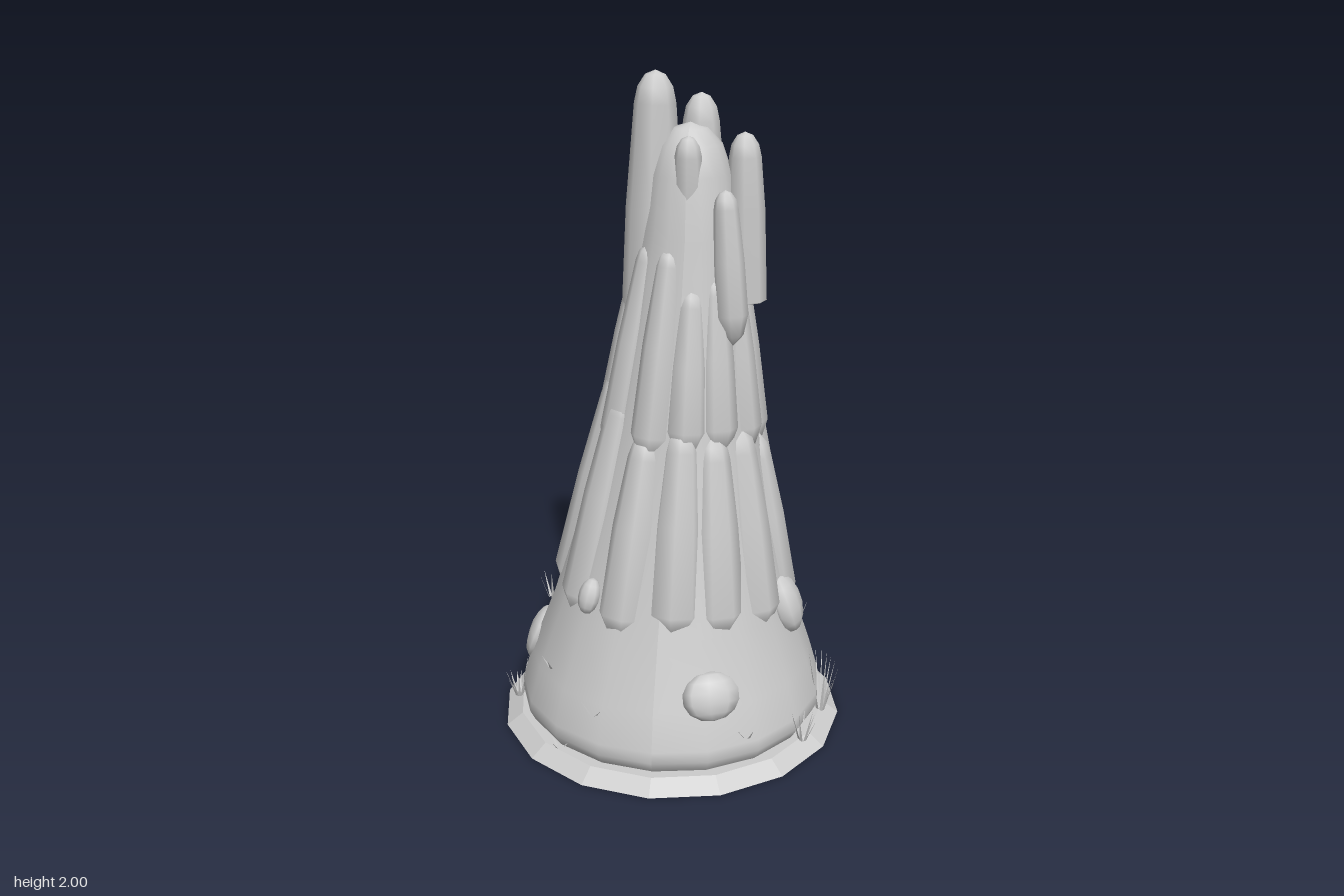
import * as THREE from 'three';

const earth = new THREE.MeshStandardMaterial({ color: 0xcccccc });
earth.name = 'pale earth';
const blade = new THREE.MeshStandardMaterial({ color: 0xcccccc, side: THREE.DoubleSide });
blade.name = 'dry grass';

// mound profile: [radius, height]
const PROFILE = [[0.44, 0.02], [0.46, 0.045], [0.475, 0.075], [0.472, 0.11], [0.44, 0.22], [0.367, 0.42],
  [0.29, 0.72], [0.227, 1.0], [0.178, 1.3], [0.142, 1.55], [0.118, 1.72], [0.09, 1.8], [0.05, 1.845], [0, 1.86]];

// the mound leans slightly toward +x as it rises
const lean = (y) => 0.055 * THREE.MathUtils.clamp((y - 0.3) / 1.2, 0, 1);

function moundRadius(y) {
  for (let i = 1; i < PROFILE.length; i++) {
    const [r0, y0] = PROFILE[i - 1], [r1, y1] = PROFILE[i];
    if (y <= y1) return r0 + (r1 - r0) * (y - y0) / (y1 - y0);
  }
  return 0;
}

function surfacePoint(angle, y, inset) {
  const r = moundRadius(y) - inset;
  return new THREE.Vector3(lean(y) + Math.cos(angle) * r, y, Math.sin(angle) * r);
}

function add(parent, name, geometry, material = earth) {
  const mesh = new THREE.Mesh(geometry, material);
  mesh.name = name;
  parent.add(mesh);
  return mesh;
}

function lathe(points, sides) {
  return new THREE.LatheGeometry(points.map(([r, y]) => new THREE.Vector2(r, y)), sides);
}

// tapered column with a rounded tip, from point a to point b
function column(parent, name, a, b, r0, r1, pointed) {
  const axis = b.clone().sub(a), h = axis.length();
  const foot = pointed ? [[0, 0], [r0 * 0.65, 0.03], [r0, 0.09]] : [[0, 0], [r0, 0], [r0, 0.002]];
  const pts = [...foot, [(r0 + r1) / 2 + 0.003, h * 0.55], [r1, h - r1 * 1.5],
    [r1 * 0.84, h - r1 * 0.75], [r1 * 0.48, h - r1 * 0.2], [0, h]];
  const mesh = add(parent, name, lathe(pts, 8));
  mesh.position.copy(a);
  mesh.quaternion.setFromUnitVectors(new THREE.Vector3(0, 1, 0), axis.normalize());
}

function grassTuft(parent, [x, y, z, height, count]) {
  const pos = [];
  for (let i = 0; i < count; i++) {
    const a = i * 2.4 + x * 9, h = height * (0.5 + 0.5 * ((i * 0.618 + 0.45) % 1));
    const spread = 0.03 + 0.15 * h, c = Math.cos(a), s = Math.sin(a), w = 0.005;
    const bx = x + c * 0.012, bz = z + s * 0.012;
    pos.push(bx - s * w, y, bz + c * w, bx + s * w, y, bz - c * w, x + c * spread, y + h, z + s * spread);
  }
  const g = new THREE.BufferGeometry();
  g.setAttribute('position', new THREE.Float32BufferAttribute(pos, 3));
  g.computeVertexNormals();
  add(parent, 'grassTuft', g, blade);
}

export function createModel() {
  const model = new THREE.Group();
  model.name = 'earthMound';

  // ground skirt
  const skirt = new THREE.CylinderGeometry(0.485, 0.535, 0.036, 16).toNonIndexed();
  skirt.translate(0, 0.018, 0);
  skirt.computeVertexNormals();
  add(model, 'groundSkirt', skirt);

  // main mound, sheared along its lean
  const body = lathe(PROFILE, 18);
  const p = body.attributes.position;
  for (let i = 0; i < p.count; i++) p.setX(i, p.getX(i) + lean(p.getY(i)));
  body.computeVertexNormals();
  add(model, 'moundBody', body);

  // two tiers of shallow buttress ribs: [angle in degrees, bottom, top]
  const lowerRibs = [[3, 0.36, 0.95], [31, 0.36, 1.0], [58, 0.38, 1.0], [83, 0.39, 1.03], [112, 0.37, 1.0],
    [145, 0.38, 1.1], [178, 0.38, 1.12], [211, 0.36, 1.12], [240, 0.38, 1.04], [275, 0.38, 1.1],
    [303, 0.38, 1.04], [333, 0.37, 1.1]];
  const upperRibs = [[20, 0.9, 1.45], [52, 0.92, 1.45], [80, 0.92, 1.42], [110, 0.9, 1.53], [148, 0.88, 1.53],
    [185, 0.88, 1.53], [225, 0.9, 1.53], [275, 0.92, 1.55], [320, 0.9, 1.52], [350, 0.88, 1.48]];
  const ribs = new THREE.Group();
  ribs.name = 'ribs';
  model.add(ribs);
  for (const [deg, y0, y1] of lowerRibs) {
    const a = deg * Math.PI / 180;
    column(ribs, 'lowerRib', surfacePoint(a, y0, 0.076), surfacePoint(a, y1, 0.026), 0.085, 0.052, true);
  }
  for (const [deg, y0, y1] of upperRibs) {
    const a = deg * Math.PI / 180;
    column(ribs, 'upperRib', surfacePoint(a, y0, 0.046), surfacePoint(a, y1, 0.024), 0.064, 0.038, true);
  }

  // spires: x, z and height of foot; x, z and height of tip; radii; pointed foot
  const spires = [
    [-0.058, -0.01, 1.15, -0.045, -0.005, 2.0, 0.098, 0.06, false],
    [0.08, -0.04, 1.6, 0.08, -0.04, 1.937, 0.06, 0.052, false],
    [0.218, 0.0, 1.352, 0.207, 0.0, 1.835, 0.06, 0.046, false],
    [0.192, 0.125, 1.25, 0.162, 0.105, 1.69, 0.048, 0.035, true],
    [0.058, 0.07, 1.5, 0.058, 0.096, 1.835, 0.042, 0.038, true],
    [-0.03, -0.135, 1.25, -0.02, -0.115, 1.77, 0.058, 0.046, true],
  ];
  for (const [x0, z0, y0, x1, z1, y1, r0, r1, pointed] of spires) {
    column(model, 'spire', new THREE.Vector3(x0, y0, z0), new THREE.Vector3(x1, y1, z1), r0, r1, pointed);
  }

  // lumps pressed into the slope: angle, height, half width, half height, half depth, inset
  const lumps = [[67, 0.262, 0.088, 0.073, 0.04, 0.004], [178, 0.235, 0.095, 0.085, 0.035, 0.012],
    [279, 0.395, 0.105, 0.09, 0.04, 0], [12, 0.42, 0.075, 0.095, 0.045, 0.002],
    [128, 0.51, 0.035, 0.055, 0.03, -0.012]];
  for (const [deg, y, w, h, d, inset] of lumps) {
    const a = deg * Math.PI / 180;
    const lump = add(model, 'lump', new THREE.SphereGeometry(1, 9, 7));
    lump.scale.set(w, h, d);
    lump.position.copy(surfacePoint(a, y, inset));
    lump.rotation.set(-0.35, Math.PI / 2 - a, 0, 'YXZ');
  }

  // grass: x, y, z, blade height, blade count
  const tufts = [[0.48, 0.03, 0.04, 0.26, 12], [0.43, 0.03, 0.22, 0.13, 9], [-0.485, 0.03, 0.07, 0.13, 12],
    [-0.45, 0.03, -0.18, 0.11, 8], [0, 0.03, -0.482, 0.06, 8], [0.39, 0.34, 0.06, 0.14, 4],
    [-0.375, 0.36, 0.02, 0.13, 4], [-0.33, 0.25, 0.26, 0.045, 3], [-0.18, 0.19, 0.41, 0.045, 3],
    [0.27, 0.13, 0.38, 0.045, 3], [-0.29, 0.05, 0.38, 0.04, 3]];
  for (const t of tufts) grassTuft(model, t);

  return model;
}
